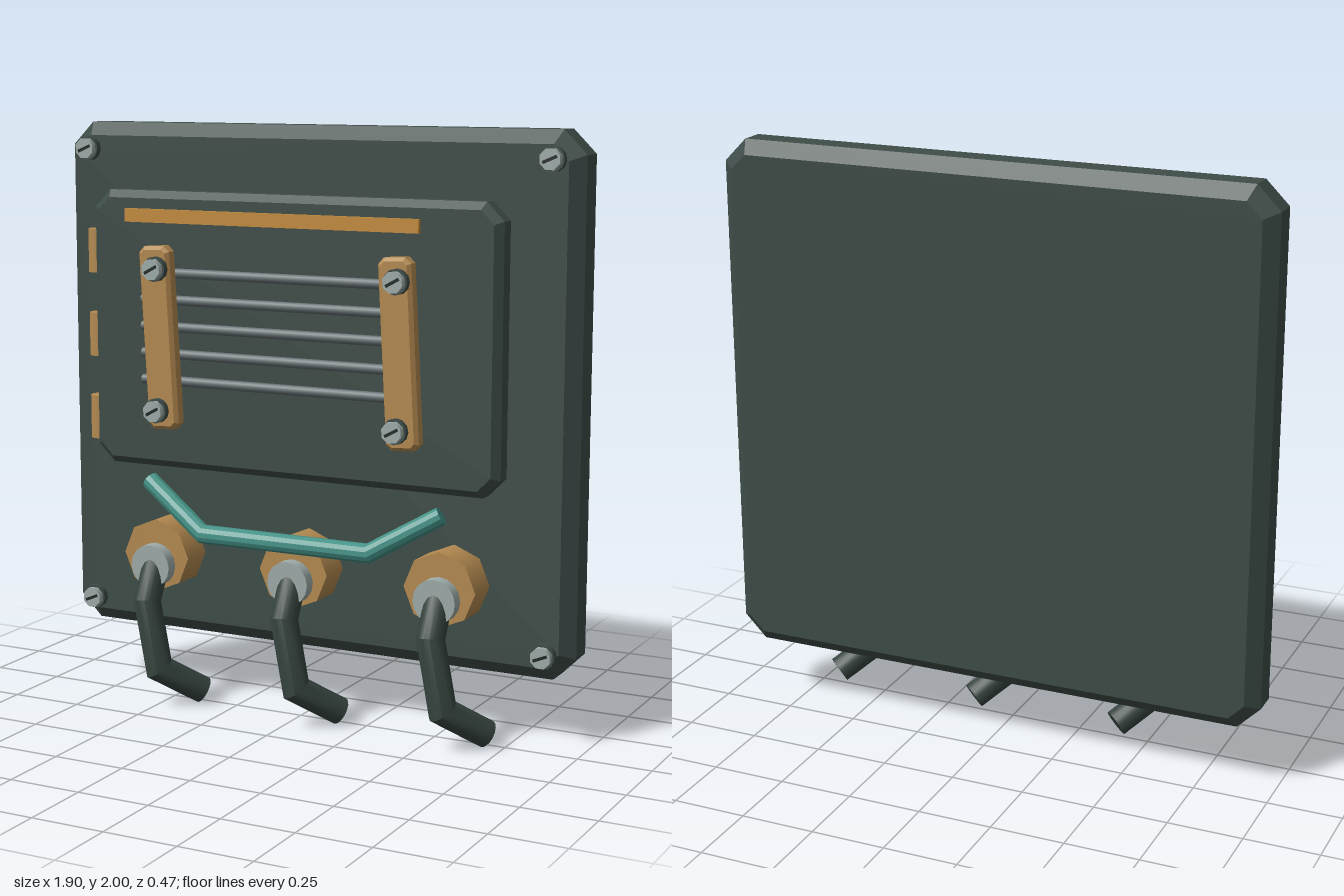
import * as THREE from 'three';
import { toCreasedNormals } from 'three/addons/utils/BufferGeometryUtils.js';

const paint = (name, color) => {
  const m = new THREE.MeshStandardMaterial({ color });
  m.name = name;
  return m;
};

// Plate with chamfered corners and bevelled rims, its back at z = 0
function plateGeometry(w, h, depth, corner, bevel, bevelDepth = bevel) {
  const x = w / 2, y = h / 2, c = corner;
  const outline = [[-x + c, -y], [x - c, -y], [x, -y + c], [x, y - c], [x - c, y], [-x + c, y], [-x, y - c], [-x, -y + c]];
  const shape = new THREE.Shape(outline.map(([a, b]) => new THREE.Vector2(a, b)));
  const g = new THREE.ExtrudeGeometry(shape, {
    depth: depth - 2 * bevelDepth, bevelEnabled: true, bevelSegments: 1,
    bevelThickness: bevelDepth, bevelSize: bevel, bevelOffset: -bevel,
  });
  return g.translate(0, 0, bevelDepth);
}

// Cylinder along z, its back at z = 0
function discGeometry(radius, depth, sides) {
  return new THREE.CylinderGeometry(radius, radius, depth, sides).rotateX(Math.PI / 2).translate(0, 0, depth / 2);
}

// Round pipe through a few points, with mitred bends and closed ends
function pipeGeometry(points, radius, sides = 16) {
  const p = points.map((a) => new THREE.Vector3(...a));
  const dirs = p.slice(1).map((b, i) => b.clone().sub(p[i]).normalize());
  const u = new THREE.Vector3(0.3, 0.1, 1).cross(dirs[0]).normalize();
  const v = dirs[0].clone().cross(u);
  const pos = [], index = [];
  let ring = [];
  for (let j = 0; j < sides; j++) {
    const a = (j / sides) * Math.PI * 2;
    ring.push(p[0].clone().addScaledVector(u, Math.cos(a) * radius).addScaledVector(v, Math.sin(a) * radius));
  }
  p.forEach((centre, i) => {
    if (i > 0) {
      // slide the last ring along its segment onto the mitre plane
      const d = dirs[i - 1];
      const n = d.clone().add(dirs[i] ?? d).normalize();
      ring = ring.map((q) => q.clone().addScaledVector(d, centre.clone().sub(q).dot(n) / d.dot(n)));
    }
    ring.forEach((q) => pos.push(q.x, q.y, q.z));
  });
  const last = (p.length - 1) * sides, start = p.length * sides;
  pos.push(...p[0].toArray(), ...p[p.length - 1].toArray());
  for (let j = 0; j < sides; j++) {
    const k = (j + 1) % sides;
    for (let i = 0; i < last; i += sides) {
      index.push(i + j, i + k, i + sides + j, i + k, i + sides + k, i + sides + j);
    }
    index.push(start, k, j, start + 1, last + j, last + k);
  }
  const g = new THREE.BufferGeometry();
  g.setAttribute('position', new THREE.Float32BufferAttribute(pos, 3));
  g.setIndex(index);
  return toCreasedNormals(g, 0.5);
}

export function createModel() {
  const model = new THREE.Group();
  model.name = 'wallPanel';

  const casing = paint('dark green casing', 0x3e4c48);
  const rubber = paint('dark rubber', 0x36443f);
  const brass = paint('brass', 0xb48a50);
  const amber = paint('amber strip', 0xc48d3d);
  const steel = paint('grey steel', 0x646e71);
  const silver = paint('pale metal', 0x9fadaa);
  const teal = paint('teal handle', 0x439186);
  const black = paint('slot black', 0x202826);

  const add = (name, geometry, material, x = 0, y = 0, z = 0, parent = model) => {
    const mesh = new THREE.Mesh(geometry, material);
    mesh.name = name;
    mesh.position.set(x, y, z);
    parent.add(mesh);
    return mesh;
  };

  // Stacked plates
  add('backPanel', plateGeometry(1.9, 1.78, 0.17, 0.078, 0.045, 0.043), casing, 0, 1.11, -0.233);
  add('gasket', plateGeometry(1.43, 0.83, 0.064, 0.05, 0.012), casing, 0, 1.305, -0.064);
  add('door', plateGeometry(1.5, 0.94, 0.1, 0.06, 0.025), casing, 0, 1.31, 0);

  // Hinge barrels on the door's edge
  for (const y of [1.565, 1.275, 0.985]) {
    add('hinge', new THREE.CylinderGeometry(0.043, 0.043, 0.15, 16), brass, -0.772, y, 0.013);
  }

  add('topStrip', new THREE.BoxGeometry(1.085, 0.045, 0.02), amber, -0.067, 1.698, 0.107);

  // Grille rods
  for (let i = 0; i < 5; i++) {
    const rod = new THREE.CylinderGeometry(0.017, 0.017, 0.95, 10).rotateZ(Math.PI / 2);
    add('grilleRod', rod, steel, -0.065, 1.51 - i * 0.091, 0.118);
  }

  // Slotted screw with a dark washer
  const addScrew = (x, y, z, turn) => {
    const screw = new THREE.Group();
    screw.name = 'screw';
    screw.position.set(x, y, z);
    screw.rotation.z = turn;
    add('washer', discGeometry(0.042, 0.022, 12), casing, 0, 0, 0, screw);
    add('screwHead', discGeometry(0.036, 0.021, 8), silver, 0, 0, 0.022, screw);
    add('screwSlot', new THREE.BoxGeometry(0.052, 0.01, 0.004), black, 0, 0, 0.0425, screw);
    model.add(screw);
  };

  // Slanted clamp bars and all screws
  for (const side of [-1, 1]) {
    const bar = add('clampBar', plateGeometry(0.115, 0.615, 0.056, 0.02, 0.012), brass, side * 0.44, 1.297, 0.136);
    bar.rotation.z = 0.055;
    for (const y of [1.53, 1.055]) addScrew(side * 0.44, y, 0.19, 0.5);
    for (const y of [1.91, 0.31]) addScrew(side * 0.857, y, -0.063, 0.4);
  }

  // Bent handle
  const grip = [[-0.545, 0.785, 0.075], [-0.3, 0.635, 0.143], [0.32, 0.635, 0.143], [0.55, 0.77, 0.08]];
  add('handle', pipeGeometry(grip, 0.032, 12), teal);

  // Cable glands with hanging hoses
  const hosePath = [[0, 0.49, 0.06], [0, 0.37, 0.122], [0.045, 0.135, 0.122], [0.155, 0.042, 0.01]];
  const hoseGeometry = pipeGeometry(hosePath, 0.047);
  for (const x of [-0.535, 0, 0.535]) {
    const gland = new THREE.Group();
    gland.name = 'cableGland';
    gland.position.x = x;
    add('nut', discGeometry(0.127, 0.122, 8), brass, 0, 0.518, -0.064, gland);
    add('collar', discGeometry(0.075, 0.045, 16), silver, 0, 0.487, 0.057, gland);
    add('hose', hoseGeometry, rubber, 0, 0, 0, gland);
    model.add(gland);
  }
  return model;
}
